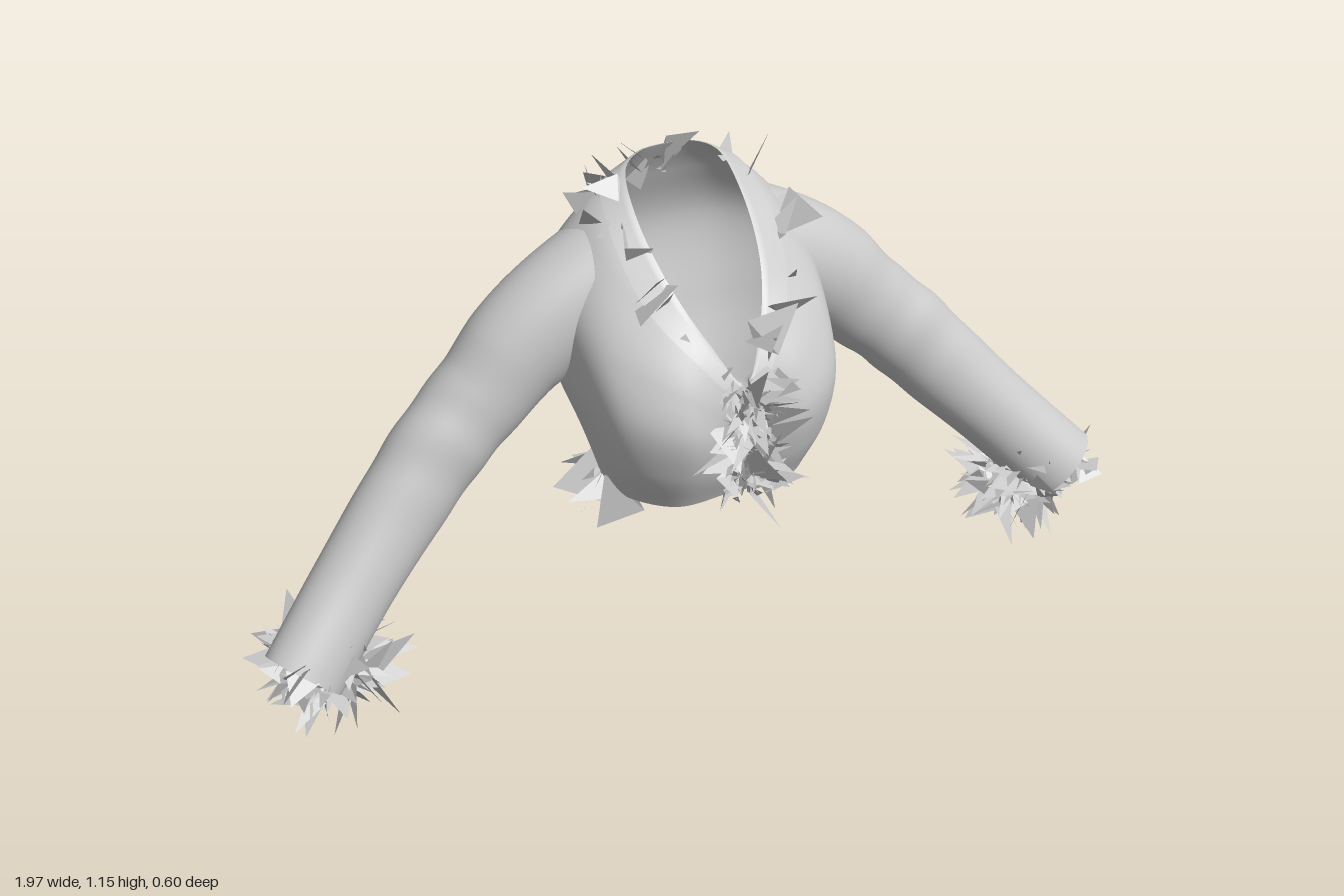
import * as THREE from 'three';

const V = (x, y, z) => new THREE.Vector3(x, y, z);
const smooth = new THREE.MeshStandardMaterial({ color: 0xcccccc, side: THREE.DoubleSide });
const faceted = new THREE.MeshStandardMaterial({ color: 0xcccccc, side: THREE.DoubleSide, flatShading: true });

// Small seeded random generator
let seed = 11;
const rnd = () => (seed = (seed * 16807) % 2147483647) / 2147483647;
const spread = (s) => (rnd() * 2 - 1) * s;

function add(group, name, geometry, material) {
  const mesh = new THREE.Mesh(geometry, material);
  mesh.name = name;
  group.add(mesh);
}

function makeGeometry(positions, index) {
  const g = new THREE.BufferGeometry();
  g.setAttribute('position', new THREE.Float32BufferAttribute(positions, 3));
  if (index) g.setIndex(index);
  g.computeVertexNormals();
  return g;
}

// Surface closed around u and open along v; keep() may leave cells out
function loft(ringAt, nu, nv, keep = () => true) {
  const pos = [], idx = [];
  for (let j = 0; j <= nv; j++) {
    const ring = ringAt(j / nv);
    for (let i = 0; i < nu; i++) pos.push(...ring(i / nu).toArray());
  }
  for (let j = 0; j < nv; j++) for (let i = 0; i < nu; i++) {
    const a = j * nu + i, b = j * nu + (i + 1) % nu;
    if (keep(pos[a * 3], pos[a * 3 + 1], pos[a * 3 + 2])) idx.push(a, b, a + nu, b, b + nu, a + nu);
  }
  return makeGeometry(pos, idx);
}

// Bodice seams from hem to neckline, running from centre front round the left side to centre back
const seams = [
  [[0, .46, .12], [0, .53, .152], [0, .6, .168], [0, .66, .175], [0, .7, .175], [0, .74, .17]],
  [[.12, .455, .115], [.13, .55, .158], [.135, .65, .178], [.125, .735, .158], [.095, .79, .135], [.055, .82, .12]],
  [[.195, .46, .055], [.225, .56, .09], [.24, .68, .1], [.225, .79, .065], [.17, .88, .03], [.1, .92, .035]],
  [[.215, .455, -.03], [.242, .56, -.03], [.275, .7, -.05], [.27, .86, -.075], [.195, .975, -.09], [.116, 1.02, -.08]],
  [[.185, .455, -.12], [.222, .56, -.137], [.268, .7, -.17], [.28, .87, -.195], [.19, 1.01, -.185], [.1, 1.085, -.16]],
  [[.1, .45, -.18], [.125, .56, -.216], [.16, .7, -.253], [.175, .88, -.277], [.12, 1.01, -.235], [.056, 1.1, -.19]],
  [[0, .45, -.19], [0, .56, -.227], [0, .7, -.265], [0, .88, -.295], [0, 1.01, -.25], [0, 1.1, -.2]],
];
const halfCurves = seams.map((s) => new THREE.CatmullRomCurve3(s.map((p) => V(...p))));
function bodiceRing(v) {
  const half = halfCurves.map((c) => c.getPoint(v));
  const other = half.slice(1, 6).reverse().map((p) => V(-p.x, p.y, p.z));
  const curve = new THREE.CatmullRomCurve3([...half, ...other], true);
  return (u) => curve.getPoint(((u % 1) + 1) % 1);
}
// Armholes where the sleeves join
const outsideArmhole = (x, y, z) =>
  Math.abs(x) < .17 || ((y - .845) / .118) ** 2 + ((z + .145) / .088) ** 2 > 1;

// Turned-out collar lying just off the bodice, deepest at the lapels and shallow behind the neck
function collarRing(t) {
  return (u) => {
    const depth = .12 + .06 * Math.cos(2 * Math.PI * u);
    const p = bodiceRing(1 - depth * t)(u);
    return p.add(V(p.x, .08, p.z + .08).normalize().multiplyScalar(t > 0 ? .003 + .004 * t : 0));
  };
}

// Sleeve stations: centre, then radius across the arm and radius in depth
const stations = [
  [.235, .845, -.145, .145, .112], [.345, .757, -.147, .117, .1], [.425, .675, -.145, .105, .09],
  [.52, .585, -.138, .101, .085], [.62, .475, -.122, .097, .082], [.75, .335, -.085, .09, .079],
  [.885, .19, -.03, .09, .075],
];
const armLine = new THREE.CatmullRomCurve3(stations.map((s) => V(s[0], s[1], s[2])));
const armSize = new THREE.CatmullRomCurve3(stations.map((s) => V(s[3], s[4], 0)));
function sleeveRing(v, side) {
  const c = armLine.getPoint(v), r = armSize.getPoint(v);
  // The first rings turn to lie in the armhole
  const t = armLine.getTangent(v).lerp(V(.97, .2, 0), Math.max(0, 1 - 5 * v)).normalize();
  const n = V(-t.y, t.x, 0).normalize(), b = t.clone().cross(n).normalize();
  return (u) => {
    const a = 2 * Math.PI * u * side;
    // Soft diagonal creases around the elbow
    const crease = 1 + .02 * Math.sin(v * 38 + 2 * Math.sin(a)) * Math.exp(-(((v - .5) / .15) ** 2));
    const p = c.clone().addScaledVector(n, Math.cos(a) * r.x * crease)
      .addScaledVector(b, Math.sin(a) * r.y * crease);
    p.x *= side;
    return p;
  };
}

// Ragged trim: folded pointed shards, mostly short; place() returns a root and an outward direction
function shards(count, minLen, maxLen, width, place) {
  const pos = [];
  for (let i = 0; i < count; i++) {
    const [root, out] = place();
    const len = minLen + (maxLen - minLen) * rnd() ** 1.6;
    const dir = out.clone().normalize().add(V(spread(.8), spread(.8), spread(.8))).normalize();
    const across = V(spread(1), spread(1), spread(1)).cross(dir).normalize();
    const fold = dir.clone().cross(across).multiplyScalar(len * spread(.35));
    const w = len * width * (.5 + rnd());
    const tip = root.clone().addScaledVector(dir, len);
    const l = root.clone().addScaledVector(across, -w).add(fold);
    const r = root.clone().addScaledVector(across, w);
    const back = root.clone().addScaledVector(dir, -len * .25);
    for (const p of [l, r, tip, l, back, r]) pos.push(...p.toArray());
  }
  return makeGeometry(pos);
}

export function createModel() {
  const jacket = new THREE.Group();
  jacket.name = 'croppedJacket';
  add(jacket, 'bodice', loft(bodiceRing, 144, 60, outsideArmhole), smooth);
  add(jacket, 'collar', loft(collarRing, 96, 8), smooth);

  for (const side of [1, -1]) {
    const label = side > 0 ? 'left' : 'right';
    add(jacket, label + 'Sleeve', loft((v) => sleeveRing(v, side), 40, 60), smooth);
    // Cuff trim clustered under and behind the wrist
    add(jacket, label + 'CuffTrim', shards(170, .03, .12, .3, () => {
      const d = V(spread(1), spread(1), spread(1)).normalize();
      const root = V(.815 + d.x * .085, .17 + d.y * .065, -.08 + d.z * .085);
      root.x *= side;
      return [root, V(d.x * side, d.y, d.z)];
    }), faceted);
    // Pointed outer corner of the cuff
    add(jacket, label + 'CuffCorner', shards(7, .05, .08, .45, () =>
      [V(side * (.915 + spread(.02)), .215 + spread(.03), spread(.05) - .02), V(side, 0, .2)]), faceted);
  }

  // Trim down the front closure
  add(jacket, 'frontTrim', shards(140, .03, .1, .3, () => {
    const x = spread(.05);
    return [V(x, .5 + .24 * rnd(), .17 + .04 * rnd()), V(x * 14, spread(.6), .8)];
  }), faceted);

  // Trim hanging along the hem, thickest at the back
  const hem = bodiceRing(.02);
  add(jacket, 'hemTrim', shards(46, .05, .13, .42, () => {
    const p = hem(.5 + spread(1) * (rnd() < .85 ? .24 : .42));
    return [p, V(p.x * 2, -.35, p.z * 1.5)];
  }), faceted);

  // Trim along the collar and lapels
  add(jacket, 'neckTrim', shards(44, .035, .11, .36, () => {
    const p = bodiceRing(.8 + .2 * rnd())(rnd());
    return [p, V(p.x * 3, .25, p.z + .35)];
  }), faceted);
  return jacket;
}
